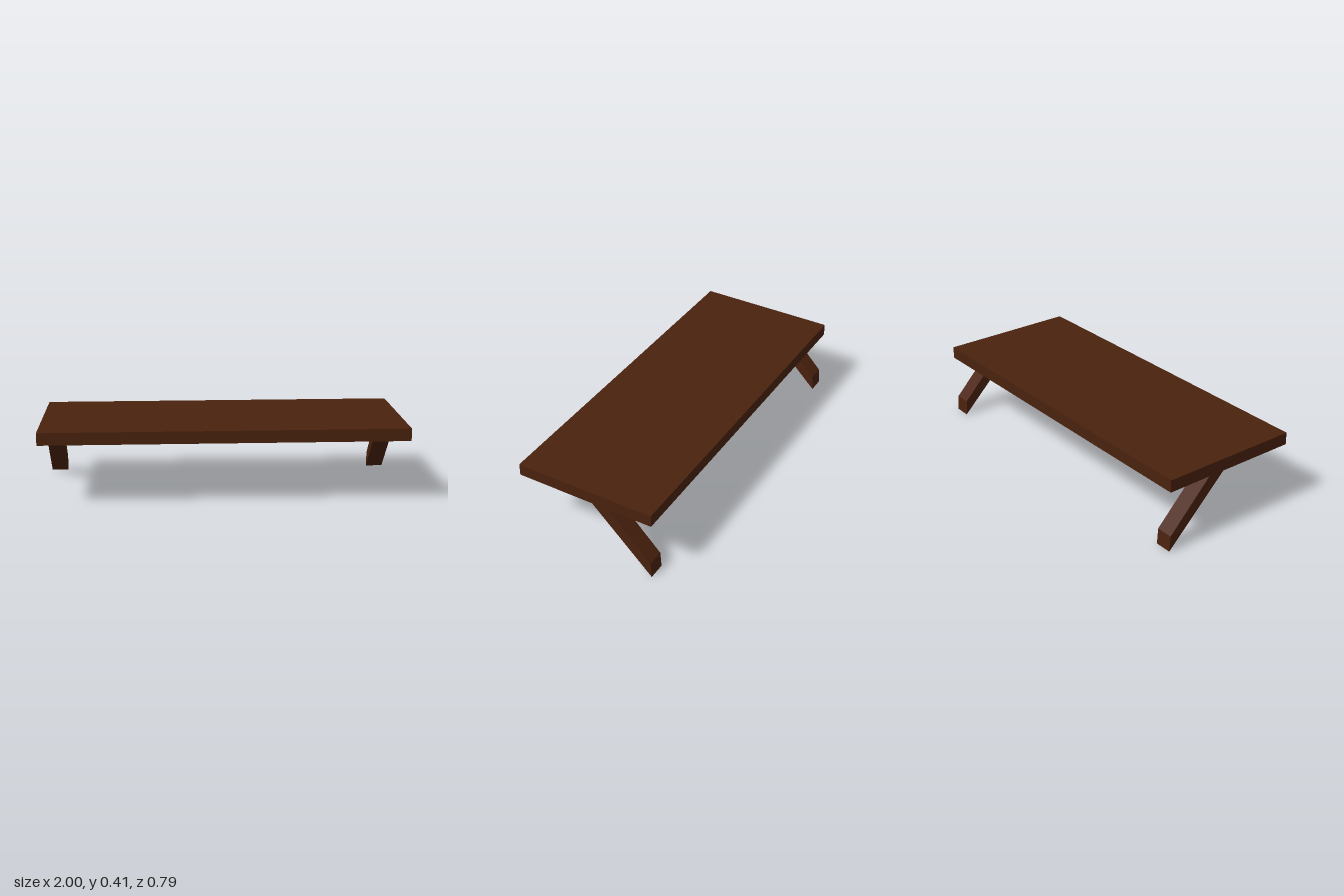
import * as THREE from 'three';

export function createModel() {
  const model = new THREE.Group();
  model.name = 'wallShelf';

  const wood = new THREE.MeshStandardMaterial({ color: 0x4a220e });
  wood.name = 'darkWood';

  // Flat board
  const board = new THREE.Mesh(new THREE.BoxGeometry(2, 0.068, 0.79), wood);
  board.name = 'board';
  board.position.y = 0.381;
  model.add(board);

  // Diagonal brace: side profile as (z, y), extruded across its width
  const width = 0.095;
  const profile = new THREE.Shape([
    [-0.39, 0], [-0.045, 0.343], [-0.135, 0.347], [-0.384, 0.087],
  ].map(([z, y]) => new THREE.Vector2(z, y)));
  const braceGeometry = new THREE.ExtrudeGeometry(profile, { depth: width, bevelEnabled: false });
  braceGeometry.translate(0, 0, -width / 2);
  braceGeometry.rotateY(-Math.PI / 2);

  // One brace under each end
  for (const [name, side] of [['leftBrace', 1], ['rightBrace', -1]]) {
    const brace = new THREE.Mesh(braceGeometry, wood);
    brace.name = name;
    brace.position.x = side * 0.948;
    model.add(brace);
  }

  return model;
}
